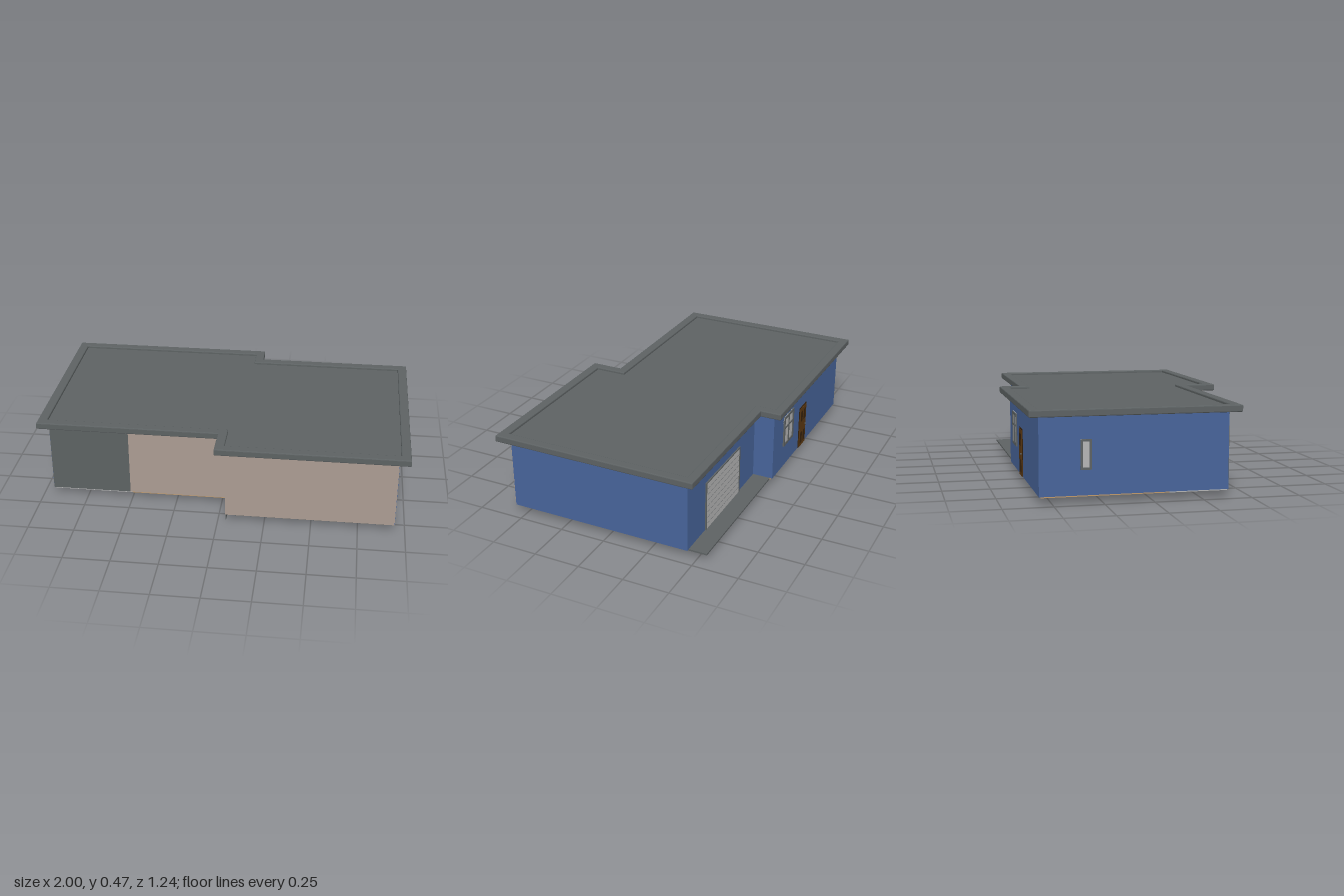
import * as THREE from 'three';

const mat = (name, color) => {
  const m = new THREE.MeshStandardMaterial({ color });
  m.name = name;
  return m;
};

export function createModel() {
  const house = new THREE.Group();
  house.name = 'house';

  const slate = mat('slate grey', 0x5d6263);
  const blue = mat('blue render', 0x48659b);
  const beige = mat('beige render', 0xab9c92);
  const wood = mat('dark wood', 0x5c3811);
  const timberFloor = mat('timber floor', 0xc29b6c);
  const pale = mat('pale grey', 0xb6b6b6);
  const seamGrey = mat('seam grey', 0x7c7e80);
  const darkWood = mat('deep wood', 0x37220c);

  // Box given by its lower and upper corners
  const box = (name, m, x0, x1, y0, y1, z0, z1, parent = house) => {
    const mesh = new THREE.Mesh(new THREE.BoxGeometry(x1 - x0, y1 - y0, z1 - z0), m);
    mesh.position.set((x0 + x1) / 2, (y0 + y1) / 2, (z0 + z1) / 2);
    mesh.name = name;
    parent.add(mesh);
    return mesh;
  };

  // Plan outline in [x, z], extruded upward from y0 to y1
  const toPoints = (pts) => pts.map(([x, z]) => new THREE.Vector2(x, -z));
  const slab = (name, m, pts, y0, y1, hole, bevel = 0) => {
    const shape = new THREE.Shape(toPoints(pts));
    if (hole) shape.holes.push(new THREE.Path(toPoints(hole)));
    const geo = new THREE.ExtrudeGeometry(shape, {
      depth: y1 - y0 - 2 * bevel, bevelEnabled: bevel > 0,
      bevelSize: bevel, bevelThickness: bevel, bevelOffset: -bevel, bevelSegments: 2,
    });
    geo.rotateX(-Math.PI / 2);
    const mesh = new THREE.Mesh(geo, m);
    mesh.position.y = y0 + bevel;
    mesh.name = name;
    house.add(mesh);
  };

  // Stepped roof outline, shrunk by d on every side
  const roofPlan = (d) => [
    [-1 + d, 0.445 - d], [-0.013 + d, 0.445 - d], [-0.013 + d, 0.618 - d], [1 - d, 0.618 - d],
    [1 - d, -0.503 + d], [0.147 - d, -0.503 + d], [0.147 - d, -0.618 + d], [-1 + d, -0.618 + d],
  ];
  slab('roofRim', slate, roofPlan(0), 0.432, 0.468, roofPlan(0.05), 0.005);
  slab('roofDeck', slate, roofPlan(0.045), 0.434, 0.455);

  // Walls
  const Y0 = 0.038, Y1 = 0.436, T = 0.02;
  const L = -0.945, R = 0.945, B = -0.565, F = 0.565, B2 = -0.45, F2 = 0.395, SF = 0.04, SB = 0.1;
  box('rightWall', blue, R - T, R, Y0, Y1, B2, F - 0.002);
  box('leftWall', blue, L, L + T, Y0, Y1, B, F2 - 0.002);
  box('backWall', blue, L + T, SB, Y0, Y1, B, B + T);
  box('backStepWall', blue, SB - T, SB, Y0, Y1, B + T, B2 + T);
  box('garageWall', blue, SB, R - T, Y0, Y1, B2, B2 + T);
  box('frontWall', beige, SF, R - T, Y0, Y1, F - T, F);
  box('frontWallEnd', beige, R - T, R - 0.001, Y0, Y1, F - 0.002, F);
  box('frontStepWall', beige, SF, SF + T, Y0, Y1, F2 - T, F - T);
  box('recessedFrontWall', beige, -0.51, SF, Y0, Y1, F2 - T, F2);
  box('tiledFrontWall', slate, L + T, -0.51, Y0, Y1, F2 - T, F2);
  box('tiledFrontWallEnd', slate, L + 0.001, L + T, Y0, Y1, F2 - 0.002, F2);

  // Floors, with the garage slab running out behind as an apron
  slab('garageSlab', slate, [
    [SB, -0.55], [0.93, -0.55], [0.93, 0.555], [SF, 0.555], [SF, 0.39], [SB, 0.39],
  ], 0.031, 0.04);
  slab('timberFloor', timberFloor, [
    [-0.935, -0.555], [SB, -0.555], [SB, 0.39], [-0.5, 0.39], [-0.5, 0.09], [-0.935, 0.09],
  ], 0.031, 0.04);
  box('tiledFloor', pale, -0.935, -0.5, 0.031, 0.04, 0.09, 0.39);

  // Plate and loose board beneath the front step
  box('footingPlate', slate, 0.04, 0.044, 0, 0.036, 0.39, 0.555);
  const board = box('underfloorBoard', wood, 0.18, 0.33, 0.024, 0.032, 0.43, 0.52);
  board.rotation.x = 0.06;
  for (const x of [0.21, 0.29]) box('boardBatten', darkWood, x - 0.015, x + 0.015, 0.02, 0.025, 0.41, 0.53);

  // Garage door with horizontal seams
  const garage = new THREE.Group();
  garage.name = 'garageDoor';
  house.add(garage);
  box('garagePanel', pale, 0.315, 0.73, 0.04, 0.31, B2 - 0.004, B2, garage);
  for (let i = 1; i < 8; i++) {
    const y = 0.04 + i * 0.27 / 8;
    for (let j = 0; j < 10; j++) {
      const x = 0.32 + j * 0.041;
      box('garageSeam', seamGrey, x, x + 0.03, y - 0.0015, y + 0.0015, B2 - 0.006, B2 - 0.004, garage);
    }
  }
  for (const x of [0.312, 0.733]) box('garageJamb', slate, x - 0.004, x + 0.004, 0.04, 0.314, B2 - 0.007, B2, garage);
  box('garageLintel', slate, 0.308, 0.737, 0.31, 0.317, B2 - 0.007, B2, garage);

  // Entrance door with raised panels and knob
  const door = new THREE.Group();
  door.name = 'entranceDoor';
  house.add(door);
  box('doorFrame', darkWood, -0.407, -0.298, 0.038, 0.293, B - 0.003, B, door);
  box('doorLeaf', wood, -0.4, -0.305, 0.04, 0.286, B - 0.006, B, door);
  for (const [y0, y1] of [[0.06, 0.13], [0.2, 0.265]])
    for (const x of [-0.375, -0.33])
      box('doorPanel', darkWood, x - 0.014, x + 0.014, y0, y1, B - 0.007, B - 0.005, door);
  const knob = new THREE.Mesh(new THREE.SphereGeometry(0.005, 10, 8), slate);
  knob.name = 'doorKnob';
  knob.position.set(-0.39, 0.16, B - 0.008);
  door.add(knob);

  // Window facing local +z, centred on its origin
  const makeWindow = (name, w, h, cross) => {
    const g = new THREE.Group();
    g.name = name;
    const t = Math.min(0.013, w * 0.2);
    box('glass', pale, -w / 2, w / 2, -h / 2, h / 2, 0, 0.003, g);
    for (const s of [-1, 1]) {
      const x = s * (w - t) / 2, y = s * (h - t) / 2;
      box('frameSide', slate, x - t / 2, x + t / 2, -h / 2, h / 2, 0, 0.008, g);
      box('frameRail', slate, -w / 2, w / 2, y - t / 2, y + t / 2, 0, 0.0078, g);
    }
    if (cross) {
      box('mullion', slate, -0.005, 0.005, -h / 2, h / 2, 0, 0.007, g);
      box('glazingBar', slate, -w / 2, w / 2, 0.015, 0.025, 0, 0.0068, g);
    }
    house.add(g);
    return g;
  };
  const backWindow = makeWindow('backWindow', 0.145, 0.18, true);
  backWindow.position.set(-0.118, 0.26, B);
  backWindow.rotation.y = Math.PI;
  const sideWindow = makeWindow('sideWindow', 0.055, 0.15, false);
  sideWindow.position.set(L, 0.24, -0.333);
  sideWindow.rotation.y = -Math.PI / 2;

  return house;
}
